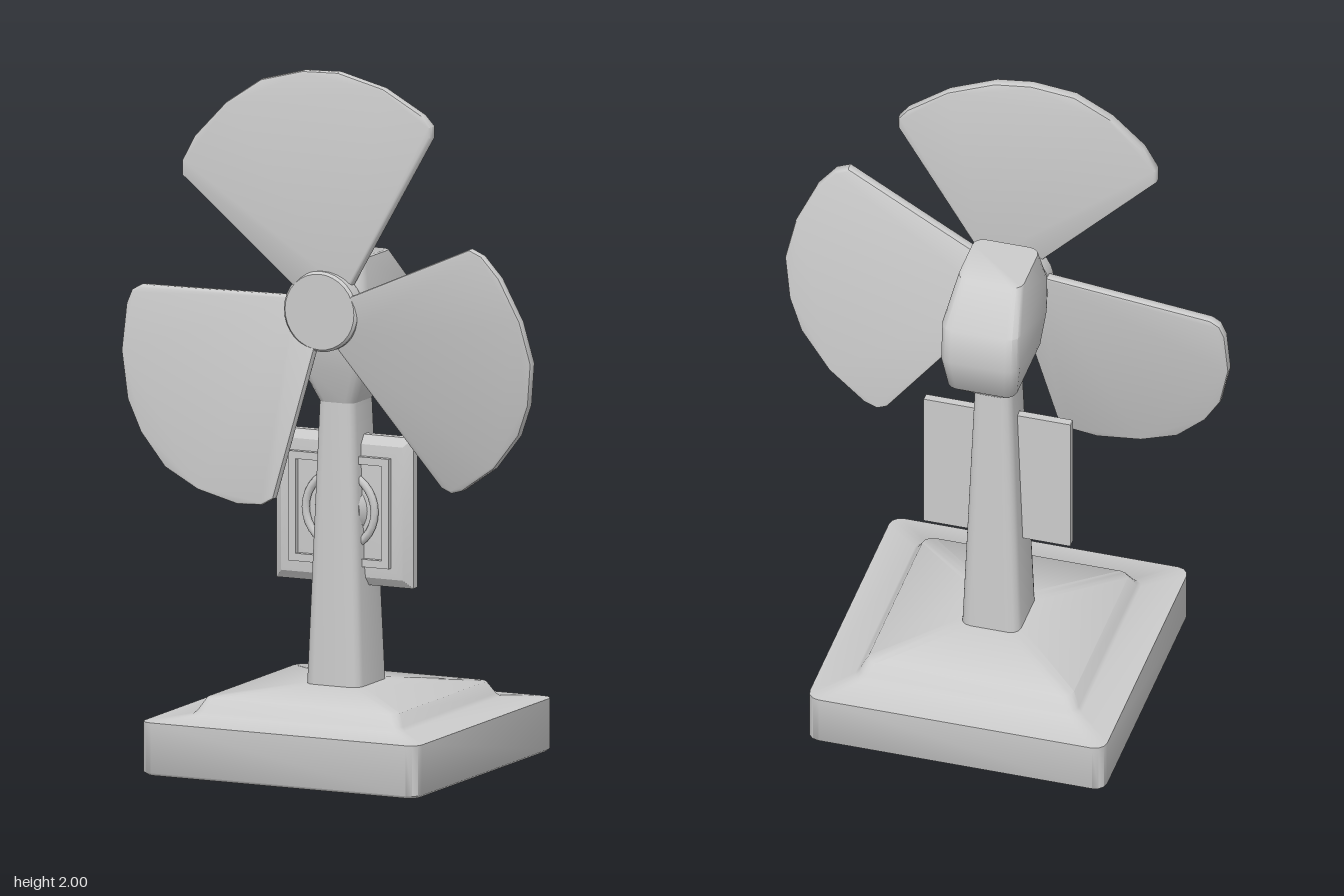
import * as THREE from 'three';
import { toCreasedNormals } from 'three/addons/utils/BufferGeometryUtils.js';

const CX = -0.045; // centre line of stand and hub
const HUB_Y = 1.315;
const material = new THREE.MeshStandardMaterial({ color: 0xcccccc });

function add(parent, name, geometry, x = 0, y = 0, z = 0) {
  const mesh = new THREE.Mesh(geometry, material);
  mesh.name = name;
  mesh.position.set(x, y, z);
  parent.add(mesh);
  return mesh;
}

// Closed stack of rounded rectangles: [y, halfWidth, zBack, zFront, cornerRadius]
function loft(sections, crease) {
  const pos = [], index = [], steps = 3, n = 4 * (steps + 1);
  for (const [y, hx, z0, z1, r] of sections) {
    const cz = (z0 + z1) / 2, hz = (z1 - z0) / 2;
    for (let c = 0; c < 4; c++) {
      const sx = c === 0 || c === 3 ? 1 : -1, sz = c < 2 ? 1 : -1;
      for (let k = 0; k <= steps; k++) {
        const a = (c + k / steps) * Math.PI / 2;
        pos.push(sx * (hx - r) + r * Math.cos(a), y, cz + sz * (hz - r) + r * Math.sin(a));
      }
    }
  }
  for (let s = 0; s < sections.length - 1; s++) {
    for (let i = 0; i < n; i++) {
      const a = s * n + i, b = s * n + (i + 1) % n;
      index.push(a, a + n, b + n, a, b + n, b);
    }
  }
  const top = (sections.length - 1) * n;
  for (let i = 1; i < n - 1; i++) {
    index.push(0, i, i + 1, top, top + i + 1, top + i);
  }
  const g = new THREE.BufferGeometry();
  g.setAttribute('position', new THREE.Float32BufferAttribute(pos, 3));
  g.setIndex(index);
  return toCreasedNormals(g, crease);
}

// One paddle pointing up, pitched about its own length
function bladeGeometry() {
  const edge = [
    [0.07, 0.06], [0.31, 0.51], [0.31, 0.54], [0.285, 0.57], [0.175, 0.64], [0.045, 0.68],
    [-0.055, 0.68], [-0.175, 0.65], [-0.275, 0.58], [-0.365, 0.48], [-0.4, 0.41], [-0.4, 0.37],
    [-0.07, 0.06],
  ].map(([x, y]) => new THREE.Vector2(x, y));
  const g = new THREE.ExtrudeGeometry(new THREE.Shape(edge), {
    depth: 0.016, bevelThickness: 0.008, bevelSize: 0.008, bevelOffset: -0.004, bevelSegments: 2,
  });
  const p = g.attributes.position;
  for (let i = 0; i < p.count; i++) p.setZ(i, p.getZ(i) - 0.008 - 0.18 * p.getX(i));
  return toCreasedNormals(g, 0.7);
}

export function createModel() {
  const model = new THREE.Group();
  model.name = 'deskFan';

  // Square foot: walls, shelf, step and shallow roof
  add(model, 'base', loft([
    [0, 0.425, -0.425, 0.425, 0.03],
    [0.008, 0.435, -0.435, 0.435, 0.035],
    [0.152, 0.435, -0.435, 0.435, 0.035],
    [0.165, 0.33, -0.33, 0.33, 0.03],
    [0.175, 0.32, -0.32, 0.32, 0.03],
    [0.21, 0.3, -0.3, 0.3, 0.03],
    [0.235, 0.086, -0.092, 0.1, 0.03],
  ], 0.95), CX);

  // Tapering column
  add(model, 'column', loft([
    [0.23, 0.086, -0.092, 0.1, 0.03],
    [1.045, 0.056, -0.065, 0.076, 0.025],
  ], 0.9), CX);

  // Motor housing swelling out of the column
  add(model, 'motorHousing', loft([
    [1.04, 0.056, -0.065, 0.076, 0.025],
    [1.14, 0.1, -0.185, 0.11, 0.03],
    [1.25, 0.115, -0.212, 0.128, 0.035],
    [1.355, 0.115, -0.2, 0.13, 0.035],
    [1.46, 0.095, -0.095, 0.1, 0.03],
  ], 0.8), CX);

  // Hub and three blades
  const rotor = new THREE.Group();
  rotor.name = 'rotor';
  rotor.position.set(CX, HUB_Y, 0.143);
  model.add(rotor);
  const hubProfile = [[0, -0.03], [0.105, -0.03], [0.115, -0.02], [0.115, 0.022], [0.108, 0.03], [0, 0.03]];
  const hub = new THREE.LatheGeometry(hubProfile.map(([r, y]) => new THREE.Vector2(r, y)), 32);
  hub.rotateX(Math.PI / 2);
  add(rotor, 'hub', toCreasedNormals(hub, 0.6));
  const blade = bladeGeometry();
  [0, 120, -113].forEach((deg, i) => {
    add(rotor, 'blade' + (i + 1), blade).rotation.z = THREE.MathUtils.degToRad(deg);
  });

  // Square control panel on the column: bevelled plate, raised frame, round dial
  const panel = new THREE.Group();
  panel.name = 'controlPanel';
  panel.position.set(CX, 0.73, 0);
  model.add(panel);
  const square = (z, h) => [z, h, -h, h, 0.002];
  const plate = loft([
    square(-0.012, 0.215), square(0.012, 0.215), square(0.032, 0.19), square(0.036, 0.16),
  ], 0.2);
  plate.rotateX(Math.PI / 2);
  add(panel, 'panelPlate', plate);

  const frame = new THREE.Shape();
  frame.moveTo(-0.157, -0.157).lineTo(0.157, -0.157).lineTo(0.157, 0.157).lineTo(-0.157, 0.157);
  const opening = new THREE.Path();
  opening.moveTo(-0.135, -0.135).lineTo(-0.135, 0.135).lineTo(0.135, 0.135).lineTo(0.135, -0.135);
  frame.holes.push(opening);
  add(panel, 'panelFrame', new THREE.ExtrudeGeometry(frame, { depth: 0.02, bevelEnabled: false }), 0, 0, 0.032);

  add(panel, 'dialRing', new THREE.TorusGeometry(0.108, 0.012, 8, 32), 0, 0, 0.042);
  const dial = new THREE.CylinderGeometry(0.07, 0.085, 0.03, 24);
  dial.rotateX(Math.PI / 2);
  add(panel, 'dial', dial, 0, 0, 0.045);

  return model;
}
